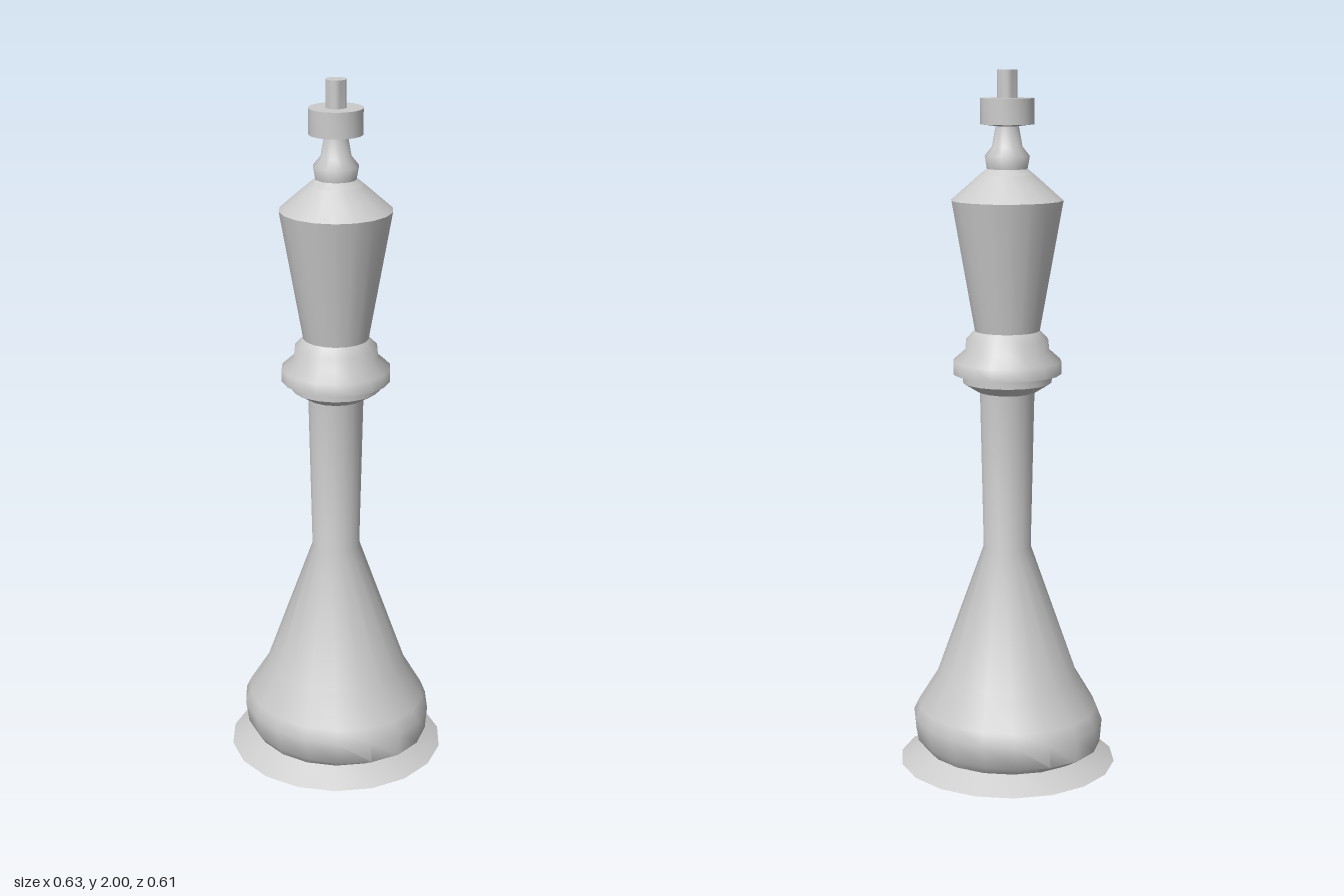
import * as THREE from 'three';
import { mergeVertices, toCreasedNormals } from 'three/addons/utils/BufferGeometryUtils.js';

const SIDES = 18;

// Turned part: rings are [xRadius, y, zRadius?], bottom to top.
function turned(name, rings, material) {
  const points = rings.map(([r, y]) => new THREE.Vector2(r, y));
  let geo = new THREE.LatheGeometry(points, SIDES, Math.PI / 2);
  const pos = geo.attributes.position;
  for (let i = 0; i < pos.count; i++) {
    const [rx, , rz = rx] = rings[i % rings.length];
    if (rx > 0) pos.setZ(i, pos.getZ(i) * rz / rx); // slightly oval rings
  }
  geo.deleteAttribute('uv');
  geo.deleteAttribute('normal');
  geo = toCreasedNormals(mergeVertices(geo, 1e-5), 1.0);
  const mesh = new THREE.Mesh(geo, material);
  mesh.name = name;
  return mesh;
}

export function createModel() {
  const group = new THREE.Group();
  group.name = 'chessKing';
  const material = new THREE.MeshStandardMaterial({ color: 0xcccccc, side: THREE.DoubleSide });

  const parts = {
    // Sharp-edged foot with a flat underside
    foot: [[0, 0.005], [0.25, 0.005, 0.2], [0.314, 0.035, 0.308], [0.243, 0.075, 0.235]],
    // Belly, tapering skirt and slender column
    body: [[0.243, 0.075, 0.235], [0.285, 0.1, 0.25], [0.285, 0.165, 0.262], [0.265, 0.2, 0.25],
      [0.205, 0.29, 0.2], [0.066, 0.67, 0.069], [0.074, 1.12, 0.08]],
    // Stepped collar
    collar: [[0.07, 1.115], [0.085, 1.12], [0.125, 1.145], [0.125, 1.17], [0.152, 1.17],
      [0.152, 1.205], [0.118, 1.235], [0.115, 1.265], [0.091, 1.29]],
    // Flared head with sloping shoulders
    head: [[0.091, 1.29], [0.155, 1.65], [0.075, 1.72]],
    // Neck bead under the crown
    neck: [[0.075, 1.72], [0.056, 1.735], [0.062, 1.77], [0.042, 1.795], [0.032, 1.85]],
    // Crown disc and top pin
    crown: [[0.032, 1.85], [0.074, 1.855], [0.074, 1.925], [0.028, 1.925], [0.028, 2], [0, 2]],
  };
  for (const [name, rings] of Object.entries(parts)) group.add(turned(name, rings, material));
  return group;
}
